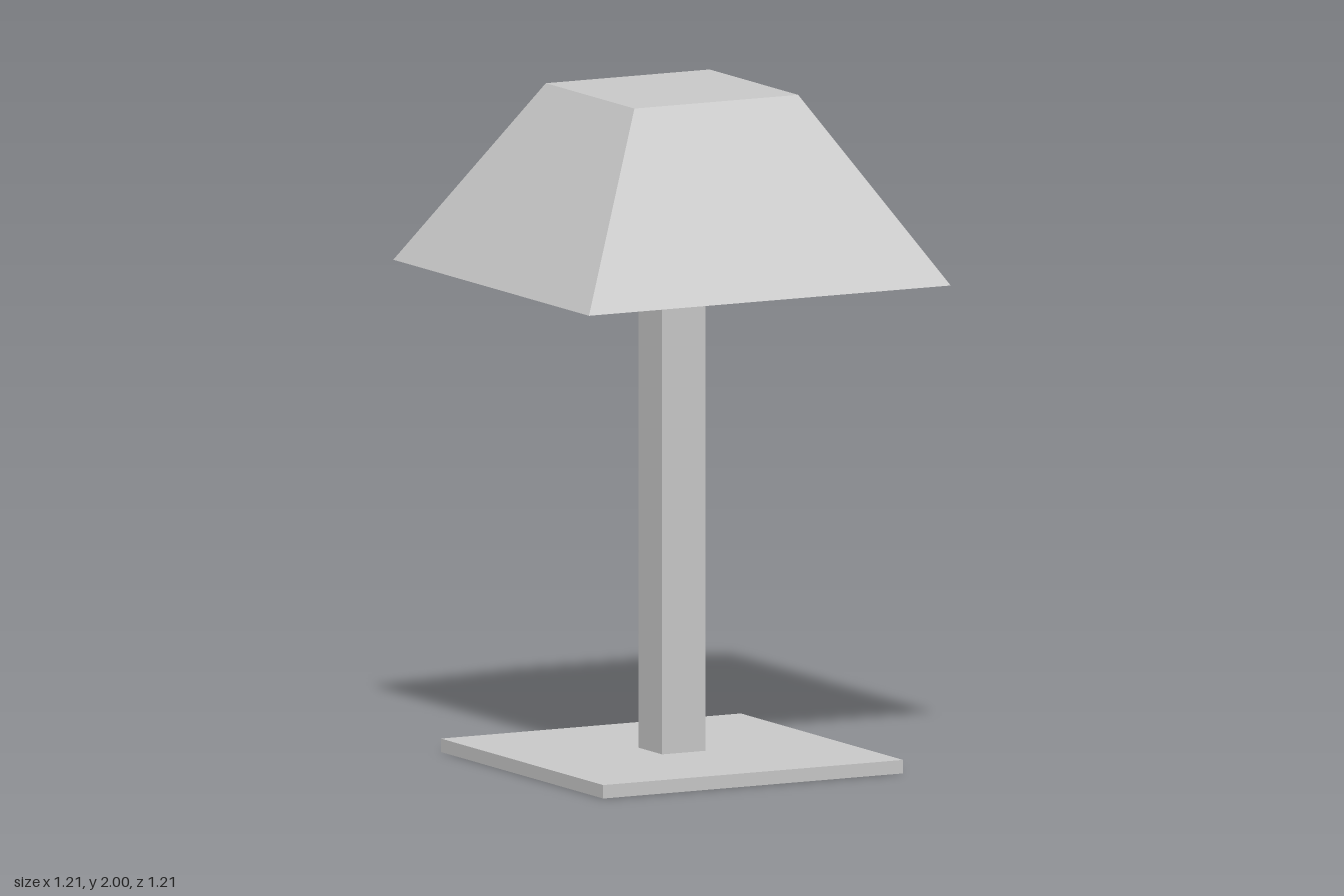
import * as THREE from 'three';

const material = new THREE.MeshStandardMaterial({ color: 0xcccccc, flatShading: true });

// Square block from y0 to y1, with its own half-width at the bottom and at the top
function squareBlock(name, y0, y1, bottomHalf, topHalf = bottomHalf) {
  const geometry = new THREE.BoxGeometry(2, y1 - y0, 2);
  geometry.translate(0, (y0 + y1) / 2, 0);
  const pos = geometry.attributes.position;
  const middle = (y0 + y1) / 2;
  for (let i = 0; i < pos.count; i++) {
    const half = pos.getY(i) > middle ? topHalf : bottomHalf;
    pos.setX(i, pos.getX(i) * half);
    pos.setZ(i, pos.getZ(i) * half);
  }
  geometry.computeVertexNormals();
  const mesh = new THREE.Mesh(geometry, material);
  mesh.name = name;
  return mesh;
}

export function createModel() {
  const lamp = new THREE.Group();
  lamp.name = 'tableLamp';
  lamp.add(
    squareBlock('base', 0, 0.04, 0.5),
    squareBlock('post', 0.04, 1.455, 0.072),
    squareBlock('shade', 1.455, 2, 0.603, 0.273), // closed, tapering upwards
  );
  return lamp;
}
